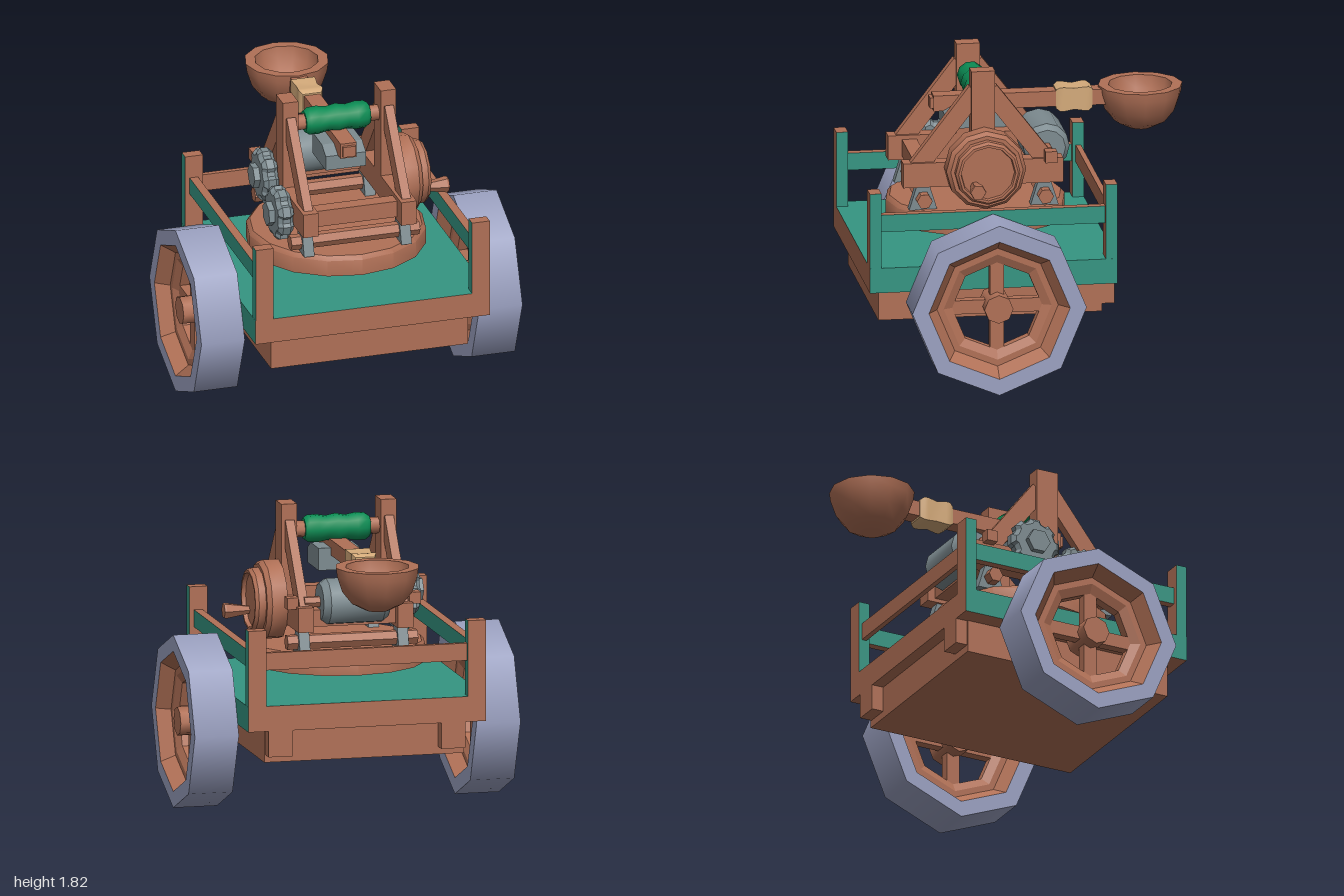
import * as THREE from 'three';
import { toCreasedNormals } from 'three/addons/utils/BufferGeometryUtils.js';

const makeMat = (name, color) => {
  const m = new THREE.MeshStandardMaterial({ color });
  m.name = name;
  return m;
};

export function createModel() {
  const wood = makeMat('wood', 0xb07056);
  const teal = makeMat('teal paint', 0x359582);
  const tyreMat = makeMat('tyre blue grey', 0x9ba1c1);
  const metal = makeMat('grey metal', 0x7d8b90);
  const green = makeMat('green cloth', 0x0b8c54);
  const tan = makeMat('tan wrapping', 0xd4aa7a);
  const sidePaint = [teal, teal, wood, wood, wood, wood];
  const deckPaint = [teal, teal, teal, wood, wood, wood];

  const model = new THREE.Group();
  model.name = 'catapultCart';

  const add = (name, geo, mat, parent = model) => {
    const m = new THREE.Mesh(geo, mat);
    m.name = name;
    parent.add(m);
    return m;
  };
  // Box given by its limits on each axis
  const box = (name, x0, x1, y0, y1, z0, z1, mat = wood, parent = model) => {
    const m = add(name, new THREE.BoxGeometry(x1 - x0, y1 - y0, z1 - z0), mat, parent);
    m.position.set((x0 + x1) / 2, (y0 + y1) / 2, (z0 + z1) / 2);
    return m;
  };
  // Turned part from [radius, height] points; optionally laid along x
  const turned = (points, sides, axis = 'y', crease = 0.8) => {
    const g = toCreasedNormals(
      new THREE.LatheGeometry(points.map(p => new THREE.Vector2(p[0], p[1])), sides), crease);
    return axis === 'x' ? g.rotateZ(-Math.PI / 2) : g;
  };
  const rod = (r, x0, x1, sides) => turned([[0, x0], [r, x0], [r, x1], [0, x1]], sides, 'x');
  const outline = points => new THREE.Shape(points.map(p => new THREE.Vector2(p[0], p[1])));

  // Cart body
  box('deck', -0.73, 0.73, 0.587, 0.74, -0.5, 0.99, deckPaint);
  box('underBox', -0.613, 0.613, 0.385, 0.587, -0.425, 0.922);
  for (const s of [-1, 1]) {
    box('rearBlock', s * 0.53 - 0.075, s * 0.53 + 0.075, 0.43, 0.587, -0.5, -0.425);
    for (const z of [-0.465, 0.955])
      box('cornerPost', s * 0.674 - 0.055, s * 0.674 + 0.055, 0.59, 1.2, z - 0.035, z + 0.035, sidePaint);
    box('sideRail', s * 0.675 - 0.026, s * 0.675 + 0.026, 0.955, 1.06, -0.43, 0.92, sidePaint);
  }
  box('rearRail', -0.62, 0.62, 0.955, 1.06, -0.482, -0.45);

  // Wheels
  const treadGeo = new THREE.CylinderGeometry(0.524, 0.524, 0.27, 8, 1, true).rotateZ(-Math.PI / 2);
  const wallGeos = [
    turned([[0.524, 0.135], [0.425, 0.135]], 8, 'x'),
    turned([[0.425, -0.135], [0.524, -0.135]], 8, 'x')];
  const rimGeo = turned([[0.425, -0.135], [0.425, 0.135], [0.365, 0.055], [0.325, 0.055], [0.27, 0.03],
    [0.27, -0.03], [0.325, -0.055], [0.365, -0.055], [0.425, -0.135]], 8, 'x', 0.3);
  for (const s of [-1, 1]) {
    const wheel = new THREE.Group();
    wheel.name = 'wheel';
    wheel.position.set(s * 0.865, 0.525, 0.25);
    add('tyreTread', treadGeo, tyreMat, wheel);
    for (const g of wallGeos) add('tyreWall', g, tyreMat, wheel);
    add('rim', rimGeo, wood, wheel);
    add('hub', rod(0.087, -0.11, 0.11, 8), wood, wheel);
    box('uprightSpoke', -0.03, 0.03, -0.3, 0.3, -0.042, 0.042, wood, wheel);
    box('levelSpoke', -0.03, 0.03, -0.042, 0.042, -0.3, 0.3, wood, wheel);
    model.add(wheel);
  }

  // Turntable
  add('turntable', turned([[0, 0.857], [0.538, 0.857], [0.538, 0.955], [0.515, 0.98], [0, 0.98]], 16), wood)
    .position.z = 0.248;

  // Cross bars and the clamps that carry the frame
  const clampGeo = new THREE.ExtrudeGeometry(
    outline([[-0.085, 0], [0.085, 0], [0.04, 0.145], [-0.04, 0.145]]), { depth: 0.064, bevelEnabled: false });
  clampGeo.translate(0, 0, -0.032).rotateY(Math.PI / 2);
  for (const z of [0.61, -0.12]) {
    add('lowerCrossBar', rod(0.047, -0.4, 0.4, 6), wood).position.set(0, 1.045, z);
    for (const s of [-1, 1])
      add('clamp', clampGeo, metal).position.set(s * 0.303, 0.976, z);
  }
  box('frontCrossBeam', -0.26, 0.26, 1.143, 1.245, 0.56, 0.65);
  box('rearCrossBeam', -0.26, 0.26, 1.143, 1.245, -0.18, -0.09);

  // Triangular side frames
  for (const s of [-1, 1]) {
    const frame = new THREE.Group();
    frame.name = 'sideFrame';
    frame.position.x = s * 0.305;
    box('baseBeam', -0.048, 0.048, 1.12, 1.27, -0.23, 0.733, wood, frame);
    box('kingPost', -0.048, 0.048, 1.2, 1.823, 0.18, 0.322, wood, frame);
    for (const d of [-1, 1]) {
      const dz = 0.36, dy = 0.47;
      const strut = add('strut', new THREE.BoxGeometry(0.055, Math.hypot(dz, dy), 0.11), wood, frame);
      strut.position.set(0, 1.46, 0.25 + d * 0.22);
      strut.rotation.x = -d * Math.atan2(dz, dy);
    }
    box('barrelPeg', s * 0.07 - 0.035, s * 0.07 + 0.035, 1.255, 1.325, -0.185, -0.115, wood, frame);
    model.add(frame);
  }

  // Winding barrel at the rear
  add('barrel', turned([[0, -0.205], [0.11, -0.205], [0.14, -0.165], [0.14, 0.165], [0.11, 0.205], [0, 0.205]], 12, 'x', 0.6), metal)
    .position.set(0, 1.29, -0.156);
  add('barrelAxle', rod(0.035, -0.3, 0.3, 6), wood).position.set(0, 1.29, -0.15);

  // Top roller wrapped in cloth
  add('rollerAxle', rod(0.05, -0.29, 0.29, 8), wood).position.set(0, 1.655, 0.25);
  add('roller', turned([[0, -0.2], [0.065, -0.2], [0.082, -0.175], [0.085, -0.12], [0.074, -0.06], [0.086, 0],
    [0.074, 0.06], [0.085, 0.12], [0.082, 0.175], [0.065, 0.2], [0, 0.2]], 10, 'x'), green)
    .position.set(0, 1.655, 0.25);

  // Throwing arm with metal block, square wrapping and bowl
  box('arm', -0.05, 0.05, 1.5, 1.595, -0.53, 0.505);
  box('armTip', -0.04, 0.04, 1.515, 1.58, 0.5, 0.525);
  const blockGeo = new THREE.ExtrudeGeometry(
    outline([[-0.18, 1.41], [-0.18, 1.545], [-0.37, 1.545], [-0.45, 1.5], [-0.45, 1.41]]),
    { depth: 0.25, bevelEnabled: false });
  blockGeo.rotateY(Math.PI / 2).translate(-0.125, 0, 0);
  add('armBlock', blockGeo, metal);
  const wrapGeo = turned([[0, -0.11], [0.082, -0.11], [0.104, -0.085], [0.104, -0.06], [0.092, 0],
    [0.104, 0.06], [0.104, 0.085], [0.082, 0.11], [0, 0.11]], 4);
  wrapGeo.rotateY(Math.PI / 4).rotateX(Math.PI / 2);
  add('wrapping', wrapGeo, tan).position.set(0, 1.547, -0.34);
  add('bowl', turned([[0, 1.34], [0.07, 1.342], [0.155, 1.385], [0.215, 1.46], [0.247, 1.555], [0.254, 1.607], [0.192, 1.607],
    [0.178, 1.53], [0.13, 1.455], [0.06, 1.42], [0, 1.415]], 12), wood)
    .position.z = -0.745;

  // Stepped crank wheel on the +x side
  const crank = new THREE.Group();
  crank.name = 'crankWheel';
  crank.position.set(0, 1.24, 0.248);
  add('crankDisc', turned([[0, 0.355], [0.24, 0.355], [0.24, 0.45], [0.218, 0.477], [0.195, 0.477], [0.195, 0.52],
    [0.18, 0.54], [0.165, 0.54], [0.16, 0.515], [0, 0.515]], 12, 'x', 0.6), wood, crank);
  add('crankHandle', turned([[0, 0.51], [0.024, 0.51], [0.05, 0.66], [0.046, 0.672], [0, 0.672]], 6, 'x', 0.3), wood, crank)
    .position.set(0, -0.075, 0.08);
  model.add(crank);

  // Meshing gears on the -x side, with broad shallow teeth
  const teeth = 8;
  const gearPoints = [];
  for (let i = 0; i < teeth; i++) {
    for (const [o, r] of [[-0.38, 0.143], [-0.24, 0.163], [0.24, 0.163], [0.38, 0.143]]) {
      const a = (i + o) / teeth * Math.PI * 2;
      gearPoints.push([Math.cos(a) * r, Math.sin(a) * r]);
    }
  }
  const gearGeo = new THREE.ExtrudeGeometry(outline(gearPoints),
    { depth: 0.046, bevelThickness: 0.025, bevelSize: 0.022, bevelOffset: -0.022, bevelSegments: 1 });
  gearGeo.translate(0, 0, -0.023).rotateY(Math.PI / 2);
  [[1.285, 0.125, 0], [1.165, 0.425, 0.39]].forEach(([y, z, turn]) => {
    const gear = new THREE.Group();
    gear.name = 'gear';
    gear.position.set(-0.406, y, z);
    gear.rotation.x = turn;
    add('gearWheel', gearGeo, metal, gear);
    add('gearHub', rod(0.075, -0.084, 0, 6), metal, gear);
    add('gearAxle', rod(0.035, 0, 0.06, 6), wood, gear);
    model.add(gear);
  });

  return model;
}
